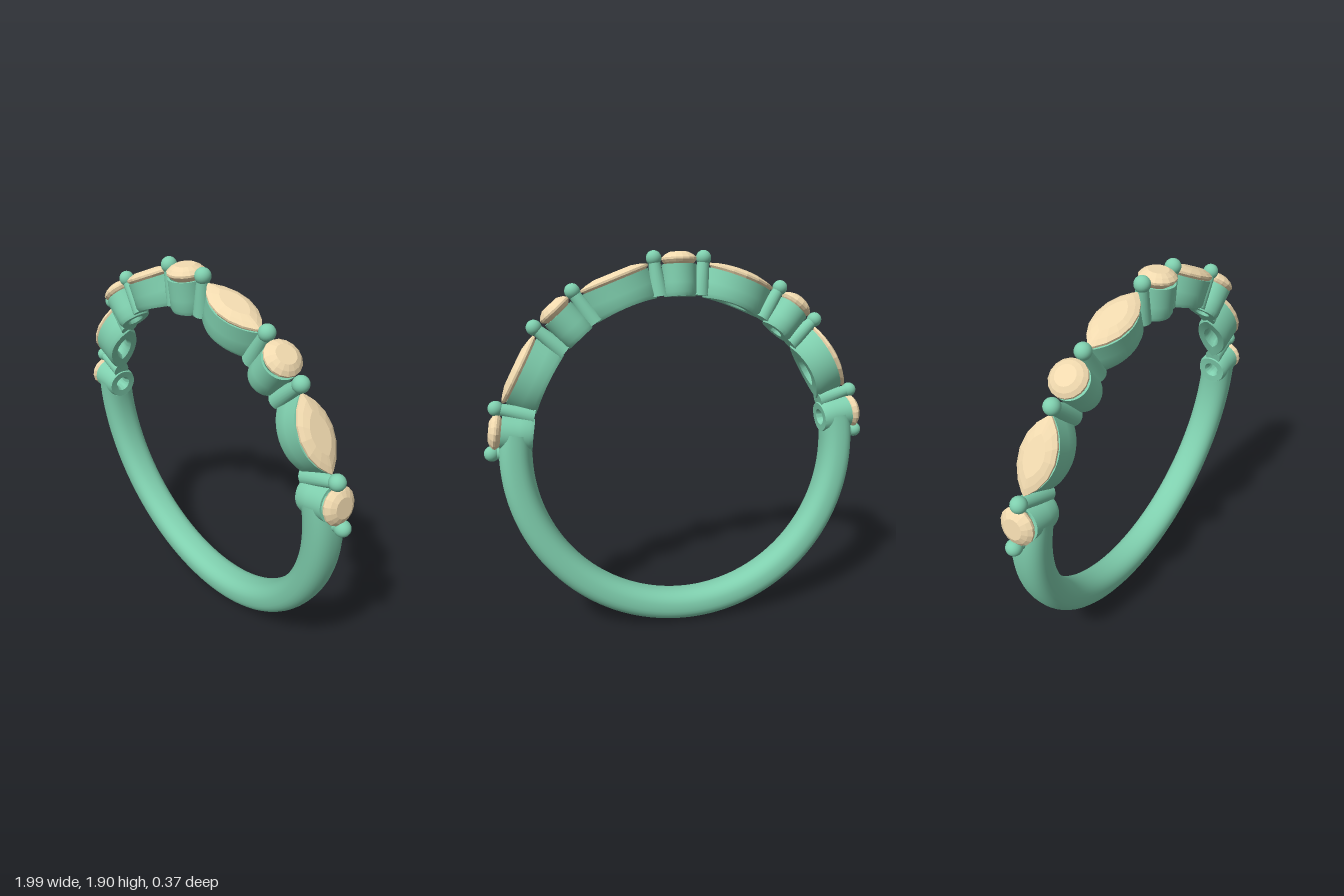
import * as THREE from 'three';
import { toCreasedNormals } from 'three/addons/utils/BufferGeometryUtils.js';

const INNER = 0.765, OUTER = 0.925;
const HALF_WIDTH = 0.09;
const deg = THREE.MathUtils.degToRad;
const metal = new THREE.MeshStandardMaterial({ color: 0x7fcfae });
const stone = new THREE.MeshStandardMaterial({ color: 0xf0d9ae, flatShading: true });

// Skin a surface over closed cross-section loops, point(row, t)
function loft(rows, sides, point) {
  const pos = [], index = [];
  for (let i = 0; i < rows; i++) {
    for (let j = 0; j < sides; j++) pos.push(...point(i, (j / sides) * Math.PI * 2));
  }
  for (let i = 0; i < rows - 1; i++) {
    for (let j = 0; j < sides; j++) {
      const k = (j + 1) % sides;
      const a = i * sides + j, b = a + sides, c = (i + 1) * sides + k, d = i * sides + k;
      index.push(a, b, c, a, c, d);
    }
  }
  const g = new THREE.BufferGeometry();
  g.setAttribute('position', new THREE.Float32BufferAttribute(pos, 3));
  g.setIndex(index);
  g.computeVertexNormals();
  return g;
}

// Stone outlines: a circle, or a pointed oval made of two arcs
const round = (t) => [0.088 * Math.cos(t), 0.088 * Math.sin(t)];
function pointed(t) {
  const a = 0.178, b = 0.09, R = (a * a + b * b) / (2 * b);
  const x = a * Math.cos(t);
  const z = Math.sqrt(Math.max(0, R * R - x * x)) - (R - b);
  return [x, Math.abs(Math.sin(t)) < 1e-6 ? 0 : z * Math.sign(Math.sin(t))];
}

// Open cup whose inner end follows the finger circle, with a hole through it
function cupGeometry(outline, top) {
  const profile = [
    [0.36, 0.785], [0.48, INNER], [0.88, INNER], [0.97, 0.785],
    [0.96, 0.83], [0.97, top], [0.85, top], [0.36, 0.81], [0.36, 0.785],
  ];
  const g = loft(profile.length, 48, (i, t) => {
    const [s, r] = profile[i];
    const [x, z] = outline(t);
    const y = r < 0.82 ? Math.sqrt(r * r - s * s * x * x) : r;
    return [s * x, y, s * z];
  });
  return toCreasedNormals(g, deg(38));
}

// Faceted stone: pavilion, girdle, crown and flat table
function gemGeometry(outline, girdle, crown) {
  const profile = [
    [0.001, girdle - 0.075], [0.9, girdle - 0.018], [1, girdle - 0.006], [1, girdle + 0.004],
    [0.82, girdle + crown * 0.6], [0.55, girdle + crown], [0.001, girdle + crown],
  ];
  return loft(profile.length, 16, (i, t) => {
    const [s, y] = profile[i];
    const [x, z] = outline(t);
    return [s * x, y, s * z];
  });
}

// Lower band, its ends coped around the last pair of round cups
function shankGeometry() {
  const soft = (v) => Math.sign(v) * Math.pow(Math.abs(v), 0.85);
  const rows = 97;
  return loft(rows, 32, (i, t) => {
    const r = (INNER + OUTER) / 2 + ((OUTER - INNER) / 2) * soft(Math.cos(t));
    const z = -HALF_WIDTH * soft(Math.sin(t));
    const start = deg(81.5) + Math.atan(Math.sqrt(Math.max(0, 0.082 ** 2 - z * z)) / r);
    const angle = THREE.MathUtils.lerp(start, Math.PI * 2 - start, i / (rows - 1));
    return [r * Math.sin(angle), r * Math.cos(angle), z];
  });
}

export function createModel() {
  const model = new THREE.Group();
  model.name = 'ring';
  const band = new THREE.Group();
  band.name = 'tiltedBand';
  band.position.y = 0.925;
  band.rotation.x = deg(6.2);
  model.add(band);

  function add(parent, name, geometry, material, y = 0) {
    const mesh = new THREE.Mesh(geometry, material);
    mesh.name = name;
    mesh.position.y = y;
    parent.add(mesh);
  }
  // Group turned so its y axis points outward at the given angle from the top
  function station(name, angle) {
    const g = new THREE.Group();
    g.name = name;
    g.rotation.z = -deg(angle);
    band.add(g);
    return g;
  }

  add(band, 'shank', shankGeometry(), metal);

  // Stones in their cups, alternating round and pointed
  const cups = [cupGeometry(round, 0.918), cupGeometry(pointed, 0.9)];
  const gems = [gemGeometry(round, 0.945, 0.032), gemGeometry(pointed, 0.917, 0.025)];
  const angles = [0, 20.7, 41, 61.7, 81.5];
  angles.forEach((angle, i) => {
    for (const side of i === 0 ? [1] : [1, -1]) {
      const kind = i % 2;
      const g = station(kind ? 'pointedSetting' : 'roundSetting', side * angle);
      add(g, 'cup', cups[kind], metal);
      add(g, 'gem', gems[kind], stone);
    }
  });

  // Shared prongs between the stones: tapered post and bead
  const post = new THREE.CylinderGeometry(0.028, 0.046, 0.175, 20);
  const bead = new THREE.SphereGeometry(0.038, 24, 16);
  for (const angle of [7.6, 33.6, 48.8, 74.7, 88]) {
    for (const side of [1, -1]) {
      const g = station('prong', side * angle);
      add(g, 'post', post, metal, 0.86);
      add(g, 'bead', bead, metal, 0.957);
    }
  }
  return model;
}
